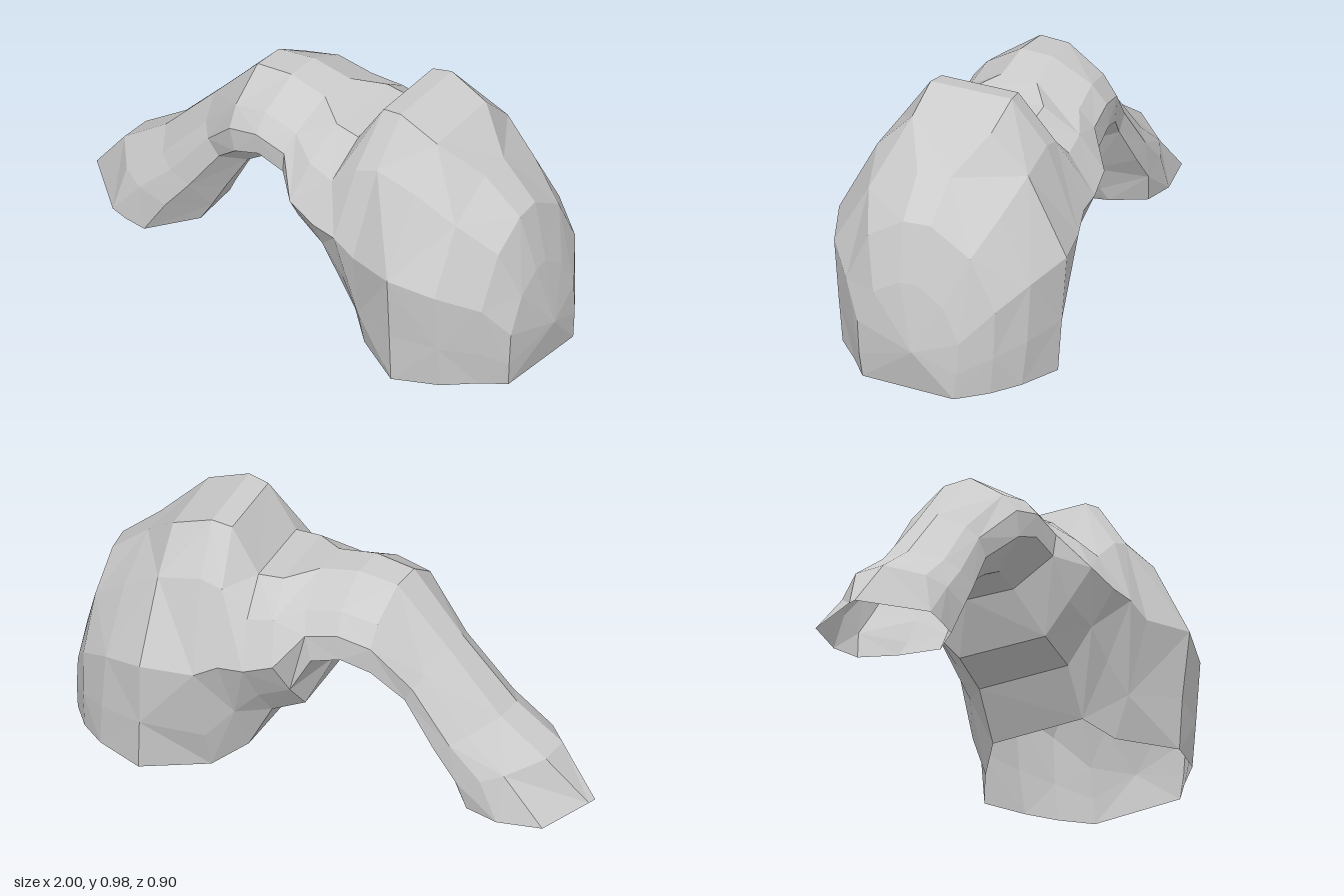
import * as THREE from 'three';

// Half outlines from underside to crest: height fraction, width fraction
const ARM = [[0, 0.35], [0.26, 0.98], [0.53, 0.99], [0.74, 0.8], [0.99, 0.25]];
const NECK = [[0, 0.5], [0.24, 0.76], [0.5, 1], [0.78, 0.76], [0.99, 0.4]];
const WALL = [[0, 0.7], [0.18, 0.84], [0.48, 1], [0.81, 0.74], [0.99, 0.42]];
const ROCK = [[0, 0.93], [0.24, 0.96], [0.52, 1], [0.83, 0.67], [0.99, 0.36]];
const DOME = [[0, 0.93], [0.24, 0.97], [0.54, 1], [0.84, 0.66], [0.99, 0.16]];

// Sections along the arch: inner x,y, outer x,y, front z, back z, outline
const SECTIONS = [
  [-0.46, 0.14, -0.85, 0.26, 0.22, -0.23, ARM],
  [-0.40, 0.25, -0.67, 0.39, 0.20, -0.23, ARM],
  [-0.31, 0.40, -0.46, 0.62, 0.18, -0.22, ARM],
  [-0.22, 0.47, -0.26, 0.845, 0.25, -0.26, ARM],
  [-0.12, 0.52, -0.11, 0.865, 0.26, -0.28, ARM],
  [-0.02, 0.49, 0.04, 0.835, 0.26, -0.29, ARM],
  [0.06, 0.31, 0.15, 0.81, 0.35, -0.37, NECK],
  [0.19, 0.24, 0.25, 0.80, 0.37, -0.385, NECK],
  [0.28, 0.06, 0.36, 0.975, 0.38, -0.39, NECK],
  [0.38, 0.0, 0.44, 0.99, 0.39, -0.41, WALL],
  [0.60, 0.01, 0.60, 0.925, 0.45, -0.455, ROCK],
  [0.78, 0.025, 0.75, 0.79, 0.39, -0.39, DOME],
  [0.88, 0.02, 0.90, 0.66, 0.28, -0.31, DOME],
  [0.96, 0.01, 0.965, 0.44, 0.20, -0.20, DOME],
];
const OPEN_FROM = 9; // the boulder has no underside from this ring on

// Rim of the foot, in the same order as the other rings
const FOOT = [
  [-0.5, 0.06, 0.08], [-0.65, 0.03, 0.22], [-0.73, 0.045, 0.225], [-0.79, 0.06, 0.22], [-1, 0.07, 0.03],
  [-0.99, 0.07, 0], [-0.9, 0.055, -0.2], [-0.73, 0.05, -0.23], [-0.6, 0.06, -0.21], [-0.5, 0.08, -0.1],
].map((p) => new THREE.Vector3(...p));

// Repeatable irregularity for the chipped facets
const wobble = (i, j) => Math.sin(i * 12.9 + j * 7.3) * 0.02;

function ring([ix, iy, ox, oy, front, back, outline], i) {
  const points = [];
  for (let j = 0; j < 10; j++) {
    const k = j < 5 ? j : 9 - j;
    const u = outline[k][0] + (k === 0 || k === 4 ? 0 : wobble(i, j));
    const w = outline[k][1] + (k === 2 ? 0 : wobble(j, i));
    points.push(new THREE.Vector3(
      Math.min(0.98, ix + (ox - ix) * u + wobble(i + 3, j) * 0.5),
      iy + (oy - iy) * u,
      (j < 5 ? front : back) * w
    ));
  }
  return points;
}

function archGeometry() {
  const rings = [FOOT, ...SECTIONS.map(ring)];
  const n = 10;
  const triangles = [];
  // Faceted skin with alternating diagonals
  for (let i = 0; i < rings.length - 1; i++) {
    const count = i < OPEN_FROM ? n : n - 1;
    for (let j = 0; j < count; j++) {
      const m = (j + 1) % n;
      const a = rings[i][j], b = rings[i + 1][j];
      const c = rings[i + 1][m], d = rings[i][m];
      if ((i + j) % 2) triangles.push(a, b, c, a, c, d);
      else triangles.push(a, b, d, b, c, d);
    }
  }
  // Blunt far end of the boulder
  const tip = new THREE.Vector3(1, 0.18, -0.03);
  const last = rings[rings.length - 1];
  for (let j = 0; j < n; j++) triangles.push(tip, last[(j + 1) % n], last[j]);

  const geometry = new THREE.BufferGeometry().setFromPoints(triangles);
  geometry.computeVertexNormals();
  return geometry;
}

export function createModel() {
  const group = new THREE.Group();
  group.name = 'rockArch';
  // Open at both ground contacts, so both sides show
  const material = new THREE.MeshStandardMaterial({
    color: 0xcccccc, flatShading: true, side: THREE.DoubleSide,
  });
  const arch = new THREE.Mesh(archGeometry(), material);
  arch.name = 'archAndBoulder';
  group.add(arch);
  return group;
}
